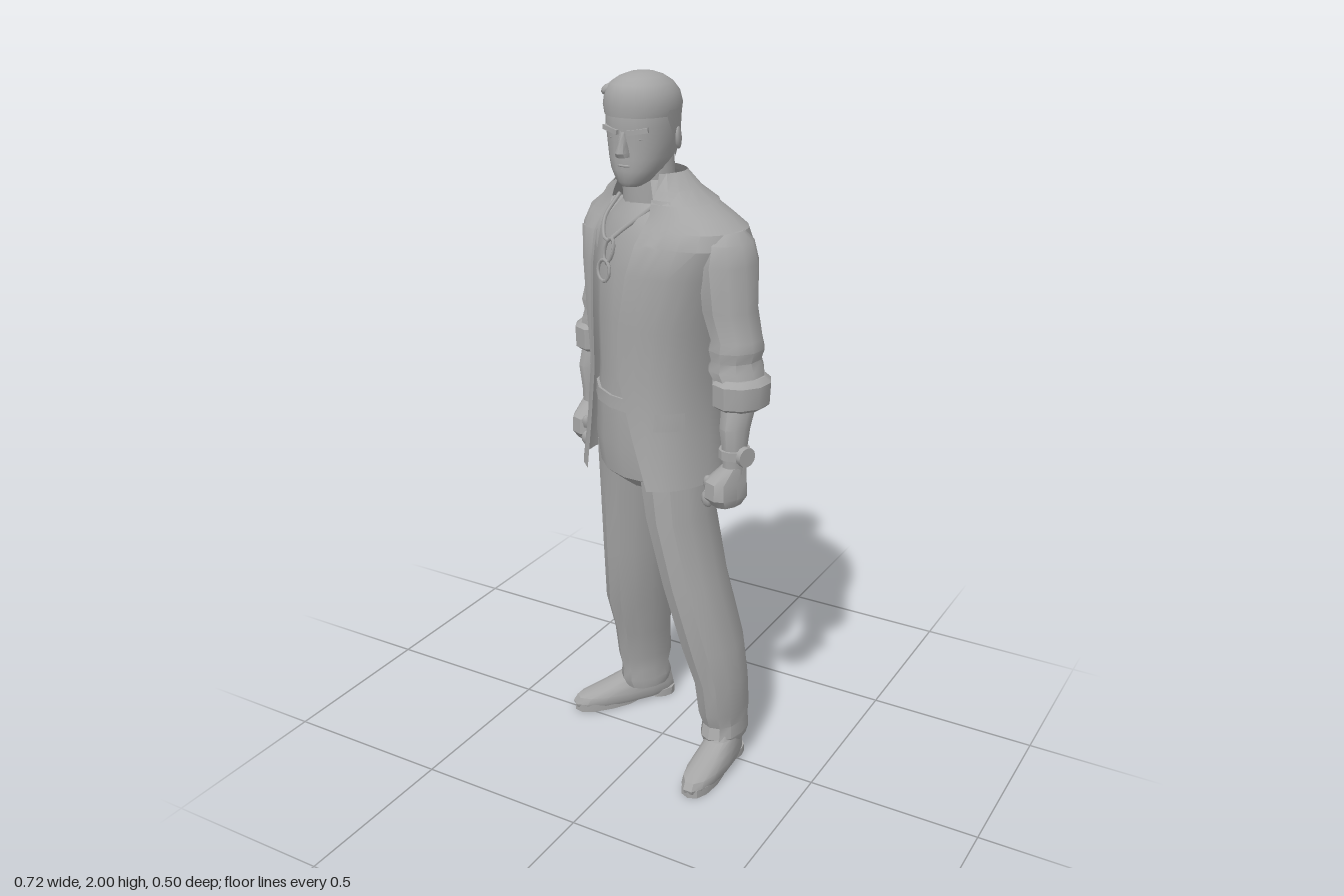
import * as THREE from 'three';
import { toCreasedNormals } from 'three/addons/utils/BufferGeometryUtils.js';

const grey = new THREE.MeshStandardMaterial({ color: 0xa6a6a6, side: THREE.DoubleSide });
grey.name = 'plain grey';
const TURN = 0.4; // the torso is turned towards its own right
const BOXY = 0.84; // squareness of the jacket sections

function add(parent, name, geometry, pos = [0, 0, 0], rot = [0, 0, 0], scale = [1, 1, 1]) {
  const mesh = new THREE.Mesh(geometry, grey);
  mesh.name = name;
  mesh.position.set(...pos);
  mesh.rotation.set(...rot);
  mesh.scale.set(...scale);
  parent.add(mesh);
  return mesh;
}

// Skin over level cross-sections, bottom to top: { x, y, z, a, b, t0, t1 }
function loft(rings, { yaw = 0, n = 12, e = 1, closed = true, crease = 0.45 } = {}) {
  const pos = [], index = [], c = Math.cos(yaw), s = Math.sin(yaw);
  const pw = v => Math.sign(v) * Math.abs(v) ** e;
  for (const r of rings) {
    const t0 = r.t0 ?? 0, t1 = r.t1 ?? Math.PI * 2;
    for (let j = 0; j <= n; j++) {
      const t = t0 + (t1 - t0) * j / n;
      const u = r.a * pw(Math.cos(t)), f = r.b * pw(Math.sin(t));
      pos.push(r.x + u * c - f * s, r.y, r.z + u * s + f * c);
    }
  }
  const w = n + 1;
  for (let i = 0; i < rings.length - 1; i++) {
    for (let j = 0; j < n; j++) {
      const p = i * w + j;
      index.push(p, p + w, p + 1, p + 1, p + w, p + w + 1);
    }
  }
  if (closed) {
    for (const [k, flip] of [[0, false], [rings.length - 1, true]]) {
      const m = pos.length / 3, r = rings[k];
      pos.push(r.x, r.y, r.z);
      for (let j = 0; j < n; j++) {
        const p = k * w + j;
        index.push(m, flip ? p + 1 : p, flip ? p : p + 1);
      }
    }
  }
  const g = new THREE.BufferGeometry();
  g.setAttribute('position', new THREE.Float32BufferAttribute(pos, 3));
  g.setIndex(index);
  return toCreasedNormals(g, crease);
}
const R = list => list.map(([y, x, z, a, b]) => ({ x, y, z, a, b }));

// Jacket sections: y, x, z, half width, half depth, right and left front edge
const JACKET = [
  [0.91, -0.02, 0.01, 0.208, 0.183, 0.08, 0.15], [1.05, -0.02, 0, 0.198, 0.174, 0.08, 0.1],
  [1.2, -0.015, 0, 0.192, 0.168, 0.075, 0.045], [1.35, -0.01, -0.008, 0.21, 0.176, 0.08, 0.05],
  [1.5, 0, -0.012, 0.25, 0.178, 0.09, 0.07], [1.58, 0.002, -0.018, 0.28, 0.165, 0.1, 0.085],
  [1.62, 0.004, -0.02, 0.27, 0.145, 0.1, 0.09], [1.65, 0.002, -0.015, 0.225, 0.122, 0.092, 0.09],
  [1.69, -0.005, 0, 0.16, 0.1, 0.085, 0.085], [1.735, -0.015, 0.018, 0.088, 0.08, 0.065, 0.065],
];
function jacketAt(y, grow = 0) {
  let i = 0;
  while (i < JACKET.length - 2 && JACKET[i + 1][0] < y) i++;
  const A = JACKET[i], B = JACKET[i + 1], k = (y - A[0]) / (B[0] - A[0]);
  const [, x, z, a, b, r, l] = A.map((v, q) => v + (B[q] - v) * k);
  const swing = d => Math.asin((d / a) ** (1 / BOXY));
  return { x, y, z, a: a + grow, b: b + grow, right: Math.PI / 2 + swing(r), left: Math.PI / 2 - swing(l) };
}

function buildTorso(g) {
  const opt = { yaw: TURN, closed: false, e: BOXY };
  const rings = JACKET.map(s => jacketAt(s[0]));
  rings.forEach(r => { r.t0 = r.right; r.t1 = r.left + Math.PI * 2; });
  add(g, 'jacket', loft(rings, { ...opt, n: 22 }));
  // lapels widen to a notch, then narrow towards the neck
  const widths = [[1.2, 0.01], [1.35, 0.16], [1.5, 0.28], [1.58, 0.36], [1.585, 0.26], [1.62, 0.3], [1.65, 0.34], [1.69, 0.4]];
  for (const side of ['right', 'left']) {
    const strip = widths.map(([y, w]) => {
      const r = jacketAt(y, 0.007);
      r.t0 = side === 'right' ? r.right - 0.01 : r.left - w;
      r.t1 = side === 'right' ? r.right + w : r.left + 0.01;
      return r;
    });
    add(g, side + 'Lapel', loft(strip, { ...opt, n: 4 }));
  }
  const collar = [1.68, 1.71, 1.75].map((y, i) => {
    const r = jacketAt(Math.min(y, 1.735), 0.008 - 0.004 * i);
    return { ...r, y, t0: r.right + 0.15 * i, t1: r.left - 0.15 * i + Math.PI * 2 };
  });
  add(g, 'jacketCollar', loft(collar, { ...opt, n: 16 }));
  const flap = [1.08, 1.13].map((y, i) => ({ ...jacketAt(y, 0.008), t0: 0.25, t1: 0.75 - 0.02 * i }));
  add(g, 'pocketFlap', loft(flap, { ...opt, n: 4 }));
  add(g, 'shirt', loft(R([[1.1, -0.02, 0, 0.178, 0.152], [1.2, -0.015, 0, 0.175, 0.152], [1.35, -0.01, -0.005, 0.19, 0.16],
    [1.5, 0, -0.01, 0.22, 0.162], [1.58, 0, -0.01, 0.21, 0.145], [1.63, -0.01, 0, 0.14, 0.115], [1.67, -0.02, 0.018, 0.08, 0.075]]),
  { yaw: TURN, n: 16, crease: 0.6 }));
  add(g, 'belt', loft(R([[1.11, -0.02, 0, 0.185, 0.16], [1.145, -0.02, 0, 0.183, 0.158]]), { yaw: TURN, n: 16 }));
  add(g, 'hips', loft(R([[0.865, -0.02, 0, 0.1, 0.09], [0.91, -0.02, 0, 0.175, 0.145], [1.0, -0.02, 0, 0.184, 0.158],
    [1.12, -0.02, 0, 0.18, 0.155]]), { yaw: TURN, n: 14, crease: 0.6 }));
  // neck chain with a pair of glasses hung from it
  const chain = new THREE.CatmullRomCurve3([[-0.1, 1.68, 0.05], [-0.115, 1.62, 0.105], [-0.085, 1.575, 0.145],
    [-0.04, 1.61, 0.125], [0.03, 1.67, 0.09]].map(p => new THREE.Vector3(...p)));
  add(g, 'neckChain', new THREE.TubeGeometry(chain, 20, 0.006, 5));
  add(g, 'upperLens', new THREE.TorusGeometry(0.026, 0.005, 5, 12), [-0.075, 1.55, 0.15], [-0.15, -TURN, -0.3], [0.7, 1.3, 1]);
  add(g, 'lowerLens', new THREE.TorusGeometry(0.026, 0.005, 5, 12), [-0.09, 1.495, 0.153], [-0.1, -TURN, 0], [1, 1.1, 1]);
}

// Arm joints: x and z at shoulder, mid sleeve, elbow, cuff, wrist, fist
function buildArm(parent, name, p) {
  const g = new THREE.Group();
  g.name = name;
  parent.add(g);
  const at = (y, k, a, b) => [y, p[k][0], p[k][1], a, b];
  const yaw = TURN;
  add(g, 'sleeve', loft(R([at(1.22, 3, 0.058, 0.07), at(1.265, 2, 0.07, 0.08), at(1.29, 2, 0.06, 0.073), at(1.32, 2, 0.07, 0.08),
    at(1.345, 2, 0.063, 0.074), at(1.42, 1, 0.068, 0.08), at(1.54, 0, 0.066, 0.088), at(1.595, 0, 0.05, 0.074), at(1.622, 0, 0.025, 0.045)]),
  { yaw, n: 10, crease: 0.68 }));
  add(g, 'rolledCuff', loft(R([at(1.165, 3, 0.058, 0.07), at(1.175, 3, 0.07, 0.083), at(1.235, 3, 0.073, 0.085), at(1.25, 3, 0.055, 0.068)]),
    { yaw, n: 10, crease: 0.68 }));
  add(g, 'forearm', loft(R([at(0.99, 4, 0.028, 0.034), at(1.05, 4, 0.03, 0.036), at(1.12, 4, 0.038, 0.045), at(1.22, 3, 0.048, 0.055)]),
    { yaw, n: 10, crease: 0.8 }));
  add(g, 'fist', loft(R([at(0.9, 5, 0.036, 0.04), at(0.925, 5, 0.047, 0.06), at(0.97, 5, 0.043, 0.058), at(1.01, 4, 0.028, 0.034)]),
    { yaw, n: 10, e: 0.75, crease: 0.6 }));
  const inward = name === 'leftArm' ? -1 : 1, c = Math.cos(yaw), s = Math.sin(yaw);
  const place = (u, y, f) => [p[5][0] + u * c - f * s, y, p[5][1] + u * s + f * c];
  for (let i = 0; i < 4; i++) { // curled fingers
    add(g, 'finger', new THREE.SphereGeometry(0.016, 8, 6), place(inward * 0.028, 0.915, (i - 1.5) * 0.026), [0, -yaw, 0], [1.3, 1.6, 1]);
  }
  add(g, 'thumb', new THREE.SphereGeometry(0.017, 8, 6), place(inward * 0.028, 0.955, 0.034), [0.5, -yaw, 0], [0.9, 1.9, 1]);
  return g;
}

function buildLeg(parent, name, yaw, rings, foot) {
  const g = new THREE.Group();
  g.name = name;
  parent.add(g);
  add(g, 'trouserLeg', loft(R(rings), { yaw, n: 12, e: 0.92, crease: 0.55 }));
  const s = Math.sin(foot.yaw), c = Math.cos(foot.yaw), L = foot.half;
  const shoe = [[0.012, 0, 0.046, L * 0.97], [0.025, 0, 0.052, L], [0.045, -0.005, 0.052, L * 0.95], [0.068, -0.04, 0.047, L * 0.71],
    [0.095, -0.075, 0.041, L * 0.46], [0.14, -0.085, 0.036, 0.05]]
    .map(([y, d, a, b]) => [y, foot.x - d * s, foot.z + d * c, a, b]);
  add(g, 'shoe', loft(R(shoe), { yaw: foot.yaw, n: 14, e: 0.9, crease: 0.6 }));
  const sole = d => [foot.x - d * s, foot.z + d * c];
  for (const [part, d, a, b] of [['heel', -L + 0.045, 0.04, 0.044], ['sole', 0.055, 0.045, L - 0.06]]) {
    const [x, z] = sole(d);
    add(g, part, loft(R([[0, x, z, a, b], [0.025, x, z, a, b]]), { yaw: foot.yaw, n: 12, e: 0.85 }));
  }
}

function buildHead(parent) {
  const g = new THREE.Group();
  g.name = 'head';
  parent.add(g);
  const X = -0.03, smooth = { n: 20, crease: 0.9 };
  add(g, 'neck', loft(R([[1.6, -0.02, 0.01, 0.08, 0.075], [1.69, -0.025, 0.025, 0.07, 0.07], [1.8, X, 0.025, 0.068, 0.072]]), smooth));
  add(g, 'face', loft(R([[1.718, X, 0.105, 0.025, 0.028], [1.73, X, 0.092, 0.043, 0.05], [1.76, X, 0.072, 0.065, 0.075],
    [1.79, X, 0.052, 0.078, 0.096], [1.83, X, 0.045, 0.086, 0.102], [1.87, X, 0.045, 0.09, 0.106], [1.92, X, 0.045, 0.09, 0.105],
    [1.96, X, 0.045, 0.08, 0.09]]), { ...smooth, e: 0.92 }));
  add(g, 'hair', loft(R([[1.895, X, 0.046, 0.093, 0.109], [1.92, X, 0.047, 0.097, 0.111], [1.95, X, 0.05, 0.091, 0.105],
    [1.973, X, 0.054, 0.076, 0.09], [1.988, X, 0.054, 0.054, 0.066], [1.997, X, 0.052, 0.03, 0.036], [2.0, X, 0.05, 0.008, 0.01]]),
  { ...smooth, e: 0.95 }));
  const back = R([[1.78, X, 0.03, 0.072, 0.082], [1.83, X, 0.042, 0.09, 0.104], [1.91, X, 0.046, 0.096, 0.111]]);
  back.forEach((r, i) => { r.t0 = Math.PI * (1.12 - 0.12 * i); r.t1 = Math.PI * (1.88 + 0.12 * i); });
  add(g, 'backHair', loft(back, { n: 14, closed: false, crease: 0.9 }));
  for (let i = 0; i < 5; i++) { // tufts along the parting
    add(g, 'hairTuft', new THREE.SphereGeometry(0.016, 7, 5), [X - 0.068 + 0.006 * (i % 2), 1.956, 0.035 + i * 0.018], [0, 0.5, 0.6], [1.2, 0.8, 1]);
  }
  const nose = [[1.797, X, 0.146, 0.018, 0.022], [1.808, X, 0.146, 0.017, 0.031], [1.835, X, 0.143, 0.011, 0.022], [1.86, X, 0.14, 0.009, 0.014]];
  add(g, 'nose', loft(R(nose), { n: 8, crease: 0.7 }));
  add(g, 'upperLip', new THREE.SphereGeometry(0.026, 10, 6), [X, 1.774, 0.137], [0, 0, 0], [1, 0.22, 0.5]);
  add(g, 'lowerLip', new THREE.SphereGeometry(0.022, 10, 6), [X, 1.763, 0.136], [0, 0, 0], [1, 0.25, 0.5]);
  for (const m of [-1, 1]) {
    add(g, 'brow', new THREE.BoxGeometry(0.055, 0.012, 0.016), [X + m * 0.038, 1.862, 0.139], [0, m * 0.35, m * 0.15]);
    add(g, 'eye', new THREE.SphereGeometry(0.014, 10, 6), [X + m * 0.036, 1.842, 0.132], [0, m * 0.3, 0], [1.2, 0.45, 0.5]);
    add(g, 'ear', new THREE.SphereGeometry(0.028, 10, 8), [X + m * 0.088, 1.835, 0.02], [0.15, m * 0.3, 0], [0.3, 1.1, 0.7]);
  }
}

export function createModel() {
  const model = new THREE.Group();
  model.name = 'standingMan';
  buildTorso(model);
  const left = buildArm(model, 'leftArm', [[0.236, 0.07], [0.242, 0.07], [0.265, 0.075], [0.287, 0.085], [0.29, 0.125], [0.272, 0.135]]);
  buildArm(model, 'rightArm', [[-0.222, -0.132], [-0.24, -0.145], [-0.27, -0.152], [-0.29, -0.152], [-0.3, -0.115], [-0.292, -0.09]]);
  // wristwatch
  add(left, 'watchStrap', loft(R([[1.035, 0.29, 0.125, 0.038, 0.044], [1.06, 0.29, 0.125, 0.038, 0.044]]), { yaw: TURN, n: 12 }));
  add(left, 'watchFace', new THREE.CylinderGeometry(0.027, 0.027, 0.016, 12), [0.33, 1.047, 0.14], [0, -TURN, Math.PI / 2]);
  buildLeg(model, 'leftLeg', 0.1, [[0.07, 0.213, -0.005, 0.052, 0.08], [0.1, 0.214, 0, 0.06, 0.09], [0.135, 0.212, -0.005, 0.056, 0.084],
    [0.18, 0.21, 0.002, 0.064, 0.093], [0.28, 0.204, 0.01, 0.068, 0.096], [0.4, 0.182, 0.025, 0.08, 0.108], [0.6, 0.13, 0.04, 0.081, 0.113],
    [0.8, 0.085, 0.043, 0.086, 0.12], [0.95, 0.065, 0.038, 0.096, 0.122]], { x: 0.222, z: 0.092, yaw: 0, half: 0.157 });
  buildLeg(model, 'rightLeg', 0.5, [[0.07, -0.142, -0.15, 0.05, 0.072], [0.1, -0.146, -0.152, 0.058, 0.084], [0.135, -0.147, -0.148, 0.052, 0.078],
    [0.18, -0.148, -0.148, 0.058, 0.088], [0.28, -0.148, -0.135, 0.066, 0.09], [0.4, -0.144, -0.11, 0.082, 0.105], [0.6, -0.132, -0.078, 0.084, 0.104],
    [0.8, -0.12, -0.06, 0.092, 0.11], [0.95, -0.11, -0.045, 0.1, 0.115]], { x: -0.205, z: -0.112, yaw: 0.66, half: 0.17 });
  buildHead(model);
  return model;
}
